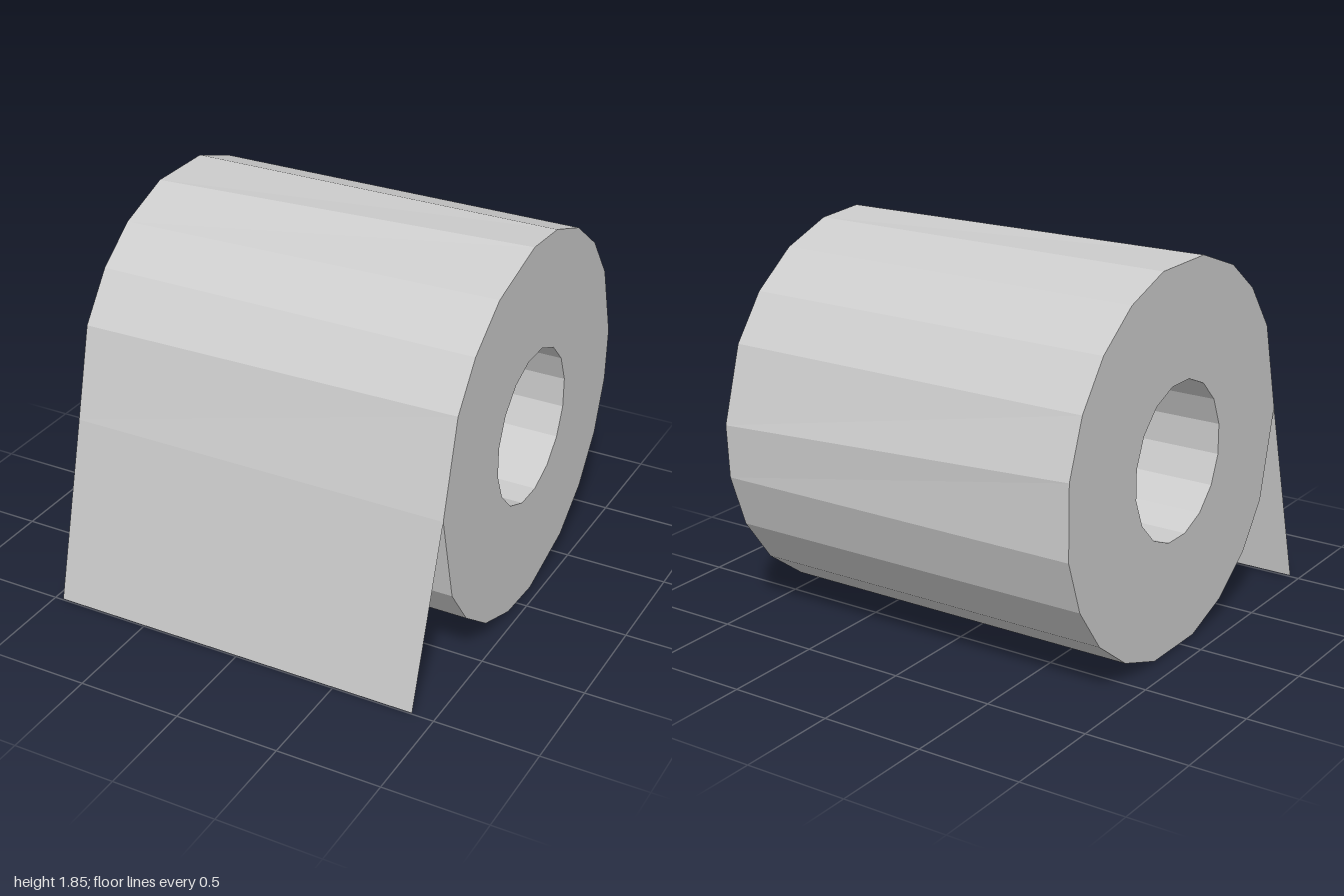
import * as THREE from 'three';

const CY = 0.927, CZ = -0.075, X0 = -0.9, X1 = 0.95;
const OUTER = 0.926, INNER = 0.375;

// Slightly uneven facets; the two ends are twisted a little against each other
const rightAngles = [0, 29, 45, 62.5, 85.4, 101, 118, 135, 151.5, 175, 191, 208, 225, 242, 265, 281, 298, 315, 331.5];
const leftAngles = [0, 28, 45, 60.5, 79, 101, 118, 135, 151.5, 169, 191, 208, 225, 242, 259, 281, 298, 315, 331.5];
const boreAngles = Array.from({ length: 16 }, (_, i) => (i + 0.5) * 22.5);

// Ring of [z, y] points around the roll axis
function ring(angles, radius) {
  return angles.map((deg) => {
    const a = THREE.MathUtils.degToRad(deg);
    return [CZ + radius * Math.cos(a), CY + radius * Math.sin(a)];
  });
}

// Faceted wall between the left and right rings
function wall(left, right, inward) {
  const pos = [];
  const put = (x, p) => pos.push(x, p[1], p[0]);
  for (let i = 0; i < left.length; i++) {
    const j = (i + 1) % left.length;
    const quad = [[X0, left[i]], [X1, right[i]], [X1, right[j]], [X0, left[j]]];
    if (inward) quad.reverse();
    for (const k of [0, 1, 2, 0, 2, 3]) put(...quad[k]);
  }
  const g = new THREE.BufferGeometry();
  g.setAttribute('position', new THREE.Float32BufferAttribute(pos, 3));
  g.computeVertexNormals();
  return g;
}

// Flat annular end; side is +1 for the left (+x) end and -1 for the other
function endCap(outer, inner, side) {
  const pts = (r) => r.map(([z, y]) => new THREE.Vector2(-side * z, y));
  const shape = new THREE.Shape(pts(outer));
  shape.holes.push(new THREE.Path(pts(inner)));
  const g = new THREE.ShapeGeometry(shape);
  g.rotateY(side * Math.PI / 2);
  g.translate(side > 0 ? X1 : X0, 0, 0);
  return g;
}

// Loose end hanging from the front of the roll, skewed sideways
function looseSheet() {
  const g = new THREE.PlaneGeometry(1, 1);
  const p = g.attributes.position;
  const corners = [[X0, 0.927, 0.851], [X1, 0.927, 0.851], [-0.955, 0.01, 1], [0.895, 0.01, 1]];
  corners.forEach((c, i) => p.setXYZ(i, ...c));
  g.computeVertexNormals();
  return g;
}

export function createModel() {
  const model = new THREE.Group();
  model.name = 'paperRoll';
  const grey = new THREE.MeshStandardMaterial({ color: 0xcccccc, flatShading: true });
  const thin = new THREE.MeshStandardMaterial({ color: 0xcccccc, flatShading: true, side: THREE.DoubleSide });
  const add = (name, geometry, material = grey) => {
    const mesh = new THREE.Mesh(geometry, material);
    mesh.name = name;
    model.add(mesh);
  };

  const left = ring(leftAngles, OUTER), right = ring(rightAngles, OUTER);
  const bore = ring(boreAngles, INNER);
  add('rollSurface', wall(left, right, false));
  add('coreHole', wall(bore, bore, true));
  add('leftEnd', endCap(right, bore, 1));
  add('rightEnd', endCap(left, bore, -1));
  add('looseSheet', looseSheet(), thin);
  return model;
}
